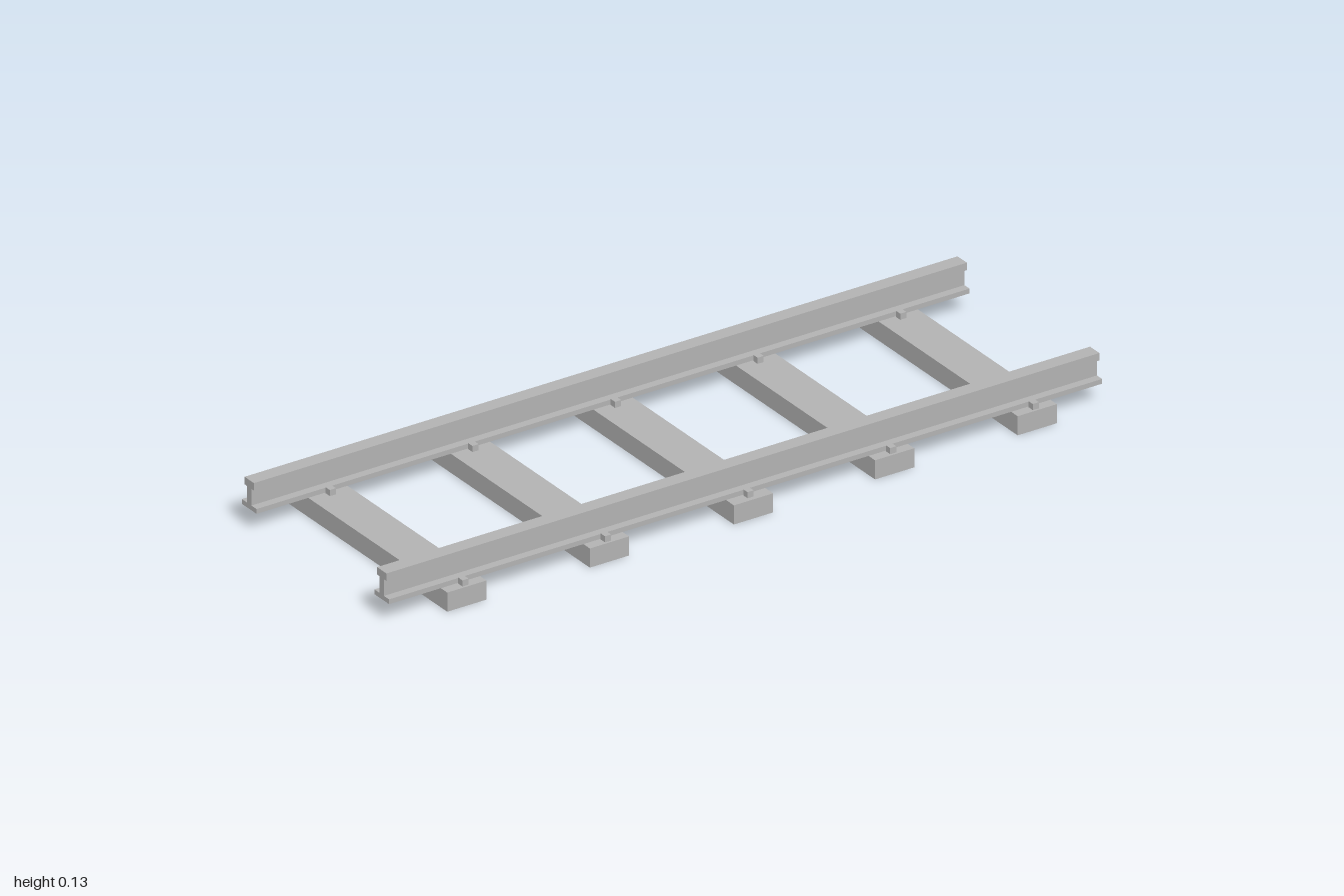
import * as THREE from 'three';

export function createModel() {
  const model = new THREE.Group();
  model.name = 'railwayTrack';
  const grey = new THREE.MeshStandardMaterial({ color: 0xb2b2b2 });
  grey.name = 'plain grey';

  const add = (parent, name, geometry, x, y, z) => {
    const mesh = new THREE.Mesh(geometry, grey);
    mesh.name = name;
    mesh.position.set(x, y, z);
    parent.add(mesh);
  };

  const railZ = 0.276;
  const sleeperTop = 0.05;

  // Rail section: wide foot, thin web, square head
  const half = [
    [0.0305, 0], [0.0305, 0.0125], [0.009, 0.0125],
    [0.009, 0.056], [0.0195, 0.056], [0.0195, 0.0757],
  ];
  const outline = [...half, ...half.map(([x, y]) => [-x, y]).reverse()];
  const section = new THREE.Shape(outline.map(([x, y]) => new THREE.Vector2(x, y)));
  const railGeometry = new THREE.ExtrudeGeometry(section, { depth: 2, bevelEnabled: false });
  railGeometry.translate(0, 0, -1);
  railGeometry.rotateY(Math.PI / 2);
  add(model, 'frontRail', railGeometry, 0, sleeperTop, railZ);
  add(model, 'backRail', railGeometry, 0, sleeperTop, -railZ);

  // Sleepers, the middle one slightly longer, each with four rail clips
  const clipGeometry = new THREE.BoxGeometry(0.017, 0.016, 0.018);
  for (let i = -2; i <= 2; i++) {
    const sleeper = new THREE.Group();
    sleeper.name = 'sleeperWithClips';
    sleeper.position.x = i * 0.4;
    const length = i === 0 ? 0.679 : 0.667;
    add(sleeper, 'sleeper', new THREE.BoxGeometry(0.11, sleeperTop, length), 0, sleeperTop / 2, 0);
    for (const side of [-1, 1]) {
      for (const offset of [-0.0425, 0.0425]) {
        add(sleeper, 'railClip', clipGeometry, 0, sleeperTop + 0.008, side * railZ + offset);
      }
    }
    model.add(sleeper);
  }
  return model;
}
